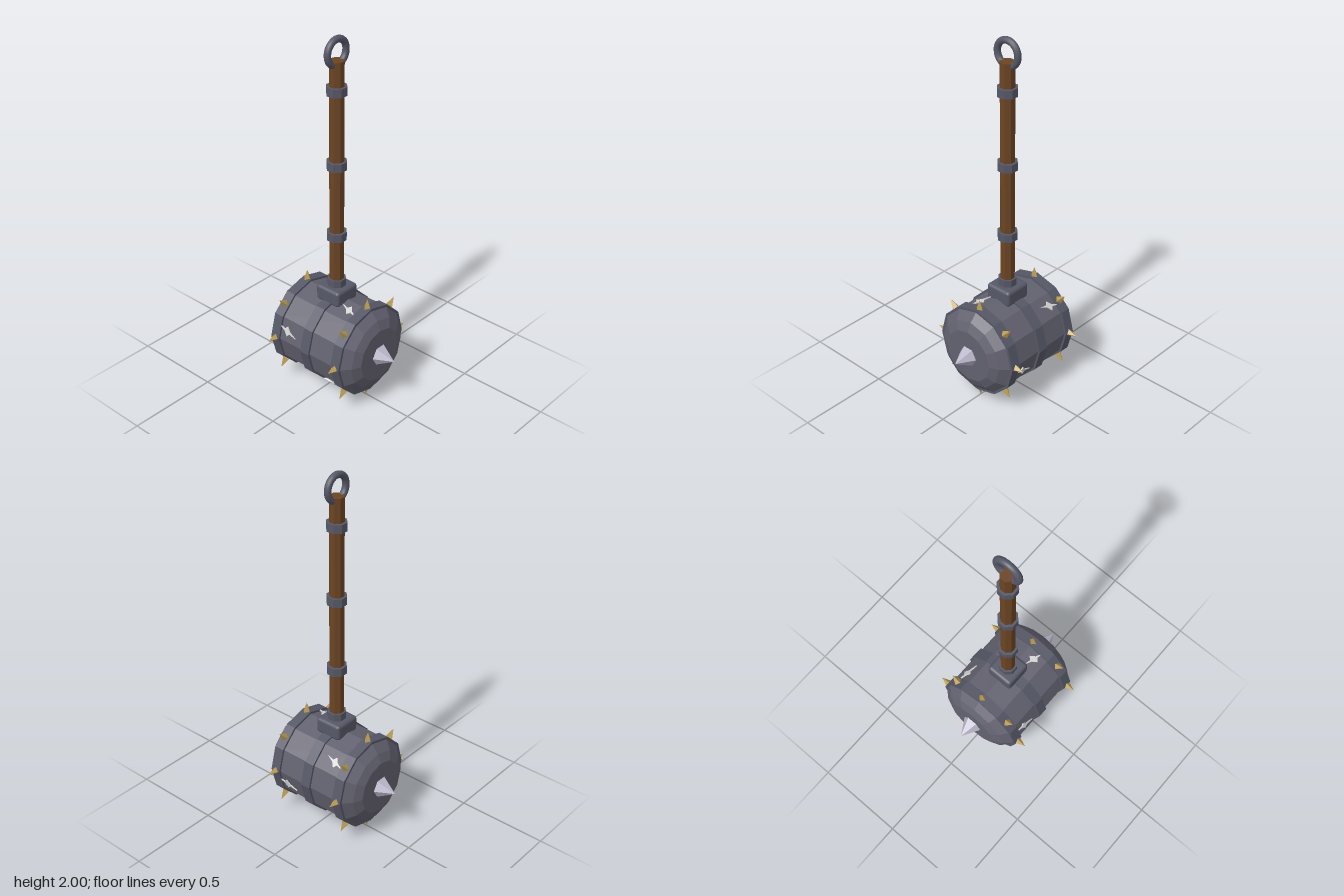
import * as THREE from 'three';
import { RoundedBoxGeometry } from 'three/addons/geometries/RoundedBoxGeometry.js';

const HEAD_Y = 0.306;

function material(name, color, flat = true) {
  const m = new THREE.MeshStandardMaterial({ color, flatShading: flat });
  m.name = name;
  return m;
}

export function createModel() {
  const root = new THREE.Group();
  root.name = 'warHammer';
  const iron = material('iron', 0x62616f);
  const darkIron = material('darkIron', 0x565867);
  const ironSmooth = material('smoothDarkIron', 0x565867, false);
  const wood = material('wood', 0x6b4423);
  const brass = material('brass', 0xb99c52);
  const steel = material('steel', 0xb9b5c9);
  const inlay = material('inlay', 0xd6d6d4);

  const add = (parent, name, geometry, mat, x = 0, y = 0, z = 0) => {
    const mesh = new THREE.Mesh(geometry, mat);
    mesh.name = name;
    mesh.position.set(x, y, z);
    parent.add(mesh);
    return mesh;
  };

  // Head: twelve-sided barrel lying along x
  const head = new THREE.Group();
  head.name = 'head';
  head.position.y = HEAD_Y;
  root.add(head);
  const profile = [[0, -0.303], [0.15, -0.303], [0.2, -0.28], [0.245, -0.238],
    [0.245, 0.238], [0.2, 0.28], [0.15, 0.303], [0, 0.303]].map(p => new THREE.Vector2(...p));
  add(head, 'barrel', new THREE.LatheGeometry(profile, 12).rotateZ(-Math.PI / 2), iron);

  // Raised bands
  const band = (name, x, width) => add(head, name,
    new THREE.CylinderGeometry(0.257, 0.257, width, 12).rotateZ(-Math.PI / 2), darkIron, x);
  band('middleBand', 0, 0.058);

  for (const side of [-1, 1]) {
    band('sideBand', side * 0.212, 0.056);

    // Large steel point on each end
    add(head, 'endSpike', new THREE.ConeGeometry(0.06, 0.102, 6).rotateZ(-side * Math.PI / 2),
      steel, side * 0.349);

    // Eight small studs around each side band
    for (let i = 0; i < 8; i++) {
      const stud = add(head, 'stud', new THREE.ConeGeometry(0.022, 0.056, 4).translate(0, 0.278, 0),
        brass, side * 0.212);
      stud.rotation.x = i * Math.PI / 4;
    }
  }

  // Zigzag inlays on alternating barrel faces
  const half = [[-0.062, 0.02], [-0.018, 0.01], [-0.002, 0.028], [0.018, 0.002]];
  const outline = [...half, ...half.map(([x, y]) => [-x, -y])]
    .map(p => new THREE.Vector2(...p)).reverse();
  const bolt = new THREE.ExtrudeGeometry(new THREE.Shape(outline),
    { depth: 0.006, bevelEnabled: false }).translate(0, 0, 0.242);
  for (let i = 0; i < 6; i++) {
    const plate = add(head, 'zigzagInlay', bolt, inlay, i % 2 ? -0.138 : 0.142);
    plate.rotation.x = THREE.MathUtils.degToRad(15 + 60 * i - 90);
  }

  // Socket and eight-sided handle
  const octagon = (apothem, height) => {
    const r = apothem / Math.cos(Math.PI / 8);
    return new THREE.CylinderGeometry(r, r, height, 8).rotateY(Math.PI / 8);
  };
  add(root, 'socket', new RoundedBoxGeometry(0.156, 0.09, 0.156, 3, 0.018), ironSmooth, 0, 0.573, 0);
  add(root, 'handle', octagon(0.037, 1.27), wood, 0, 1.24, 0);
  add(root, 'handleCollar', octagon(0.047, 0.05), darkIron, 0, 0.634, 0);
  for (const y of [0.917, 1.32, 1.722]) add(root, 'handleRing', octagon(0.05, 0.046), darkIron, 0, y, 0);

  // Hanging ring at the top
  add(root, 'hangingRing', new THREE.TorusGeometry(0.066, 0.018, 12, 32).rotateY(Math.PI / 2),
    ironSmooth, 0, 1.916, 0);

  return root;
}
